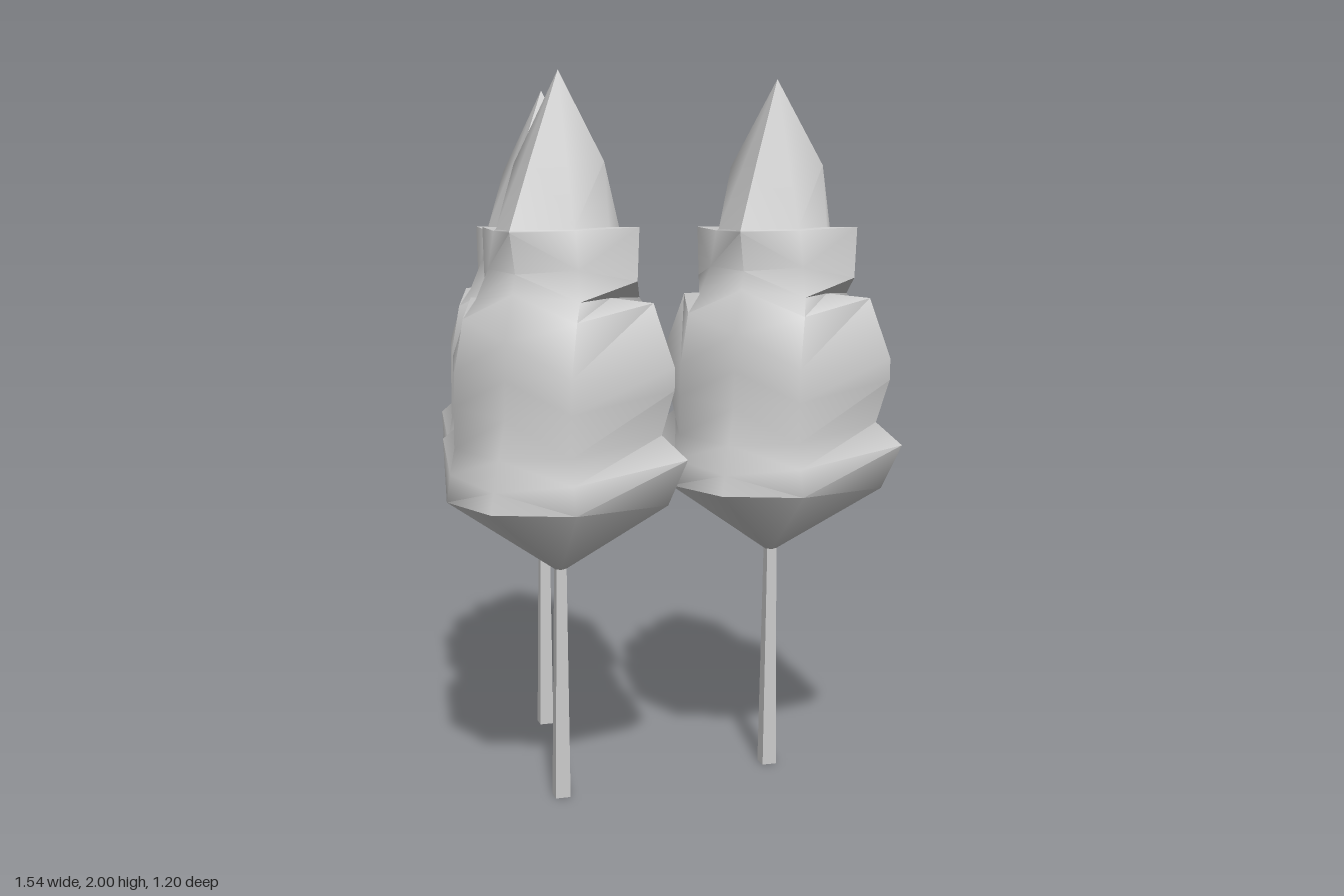
import * as THREE from 'three';
import { toCreasedNormals } from 'three/addons/utils/BufferGeometryUtils.js';

// Each crown ring: [side reach x, side y], [diagonal x, z, y], [front reach z, front y]
const RINGS = [
  [[0.14, 1.76], [0.07, 0.07, 1.76], [0.14, 1.76]],
  [[0.155, 1.59], [0.12, 0.12, 1.585], [0.24, 1.58]],
  [[0.245, 1.59], [0.127, 0.122, 1.58], [0.24, 1.575]],
  [[0.24, 1.45], [0.14, 0.13, 1.48], [0.215, 1.47]],
  [[0.16, 1.405], [0.16, 0.16, 1.4], [0.23, 1.42]],
  [[0.287, 1.395], [0.175, 0.2, 1.35], [0.265, 1.3]],
  [[0.35, 1.23], [0.18, 0.235, 1.21], [0.268, 1.2]],
  [[0.35, 1.17], [0.18, 0.24, 1.12], [0.27, 1.1]],
  [[0.313, 1.05], [0.18, 0.24, 1.01], [0.3, 1.0]],
  [[0.39, 0.99], [0.19, 0.247, 0.94], [0.325, 0.92]],
  [[0.333, 0.865], [0.2, 0.25, 0.865], [0.34, 0.865]],
];
const TOP = 2, BASE = 0.645, SIDES = 8;

// Eight-sided crown mirrored in x and z, closed by a point at either end
function crownGeometry() {
  const pos = [0, TOP, 0], index = [];
  for (const [s, d, f] of RINGS) {
    for (let i = 0; i < SIDES; i++) {
      const a = (i / SIDES) * Math.PI * 2;
      const sx = Math.sign(Math.round(Math.cos(a) * 10));
      const sz = Math.sign(Math.round(Math.sin(a) * 10));
      if (sz === 0) pos.push(sx * s[0], s[1], 0);
      else if (sx === 0) pos.push(0, f[1], sz * f[0]);
      else pos.push(sx * d[0], d[2], sz * d[1]);
    }
  }
  pos.push(0, BASE, 0);
  const bottom = pos.length / 3 - 1;
  const at = (ring, i) => 1 + ring * SIDES + (i % SIDES);
  const last = RINGS.length - 1;
  for (let i = 0; i < SIDES; i++) {
    index.push(0, at(0, i + 1), at(0, i));
    for (let r = 0; r < last; r++) {
      const a = at(r, i), b = at(r, i + 1), c = at(r + 1, i), d = at(r + 1, i + 1);
      // Mirror the diagonals so opposite quarters match
      if (i % 2) index.push(a, b, c, b, d, c);
      else index.push(a, b, d, a, d, c);
    }
    index.push(bottom, at(last, i), at(last, i + 1));
  }
  const g = new THREE.BufferGeometry();
  g.setAttribute('position', new THREE.Float32BufferAttribute(pos, 3));
  g.setIndex(index);
  return toCreasedNormals(g, 1.1);
}

export function createModel() {
  const model = new THREE.Group();
  model.name = 'treeGroup';
  const leafMat = new THREE.MeshStandardMaterial({ color: 0xcccccc, side: THREE.DoubleSide });
  const trunkMat = new THREE.MeshStandardMaterial({ color: 0xcccccc, flatShading: true });

  const crownGeo = crownGeometry();
  // Slim four-sided trunk, tapering upward into the crown
  const trunkGeo = new THREE.CylinderGeometry(0.02, 0.03, 0.68, 4);
  trunkGeo.translate(0, 0.34, 0);

  const spots = [[-0.385, -0.235], [0.38, -0.26], [-0.025, 0.26]];
  spots.forEach(([x, z], i) => {
    const tree = new THREE.Group();
    tree.name = `tree${i + 1}`;
    const crown = new THREE.Mesh(crownGeo, leafMat);
    crown.name = 'crown';
    const trunk = new THREE.Mesh(trunkGeo, trunkMat);
    trunk.name = 'trunk';
    tree.add(crown, trunk);
    tree.position.set(x, 0, z);
    model.add(tree);
  });
  return model;
}
